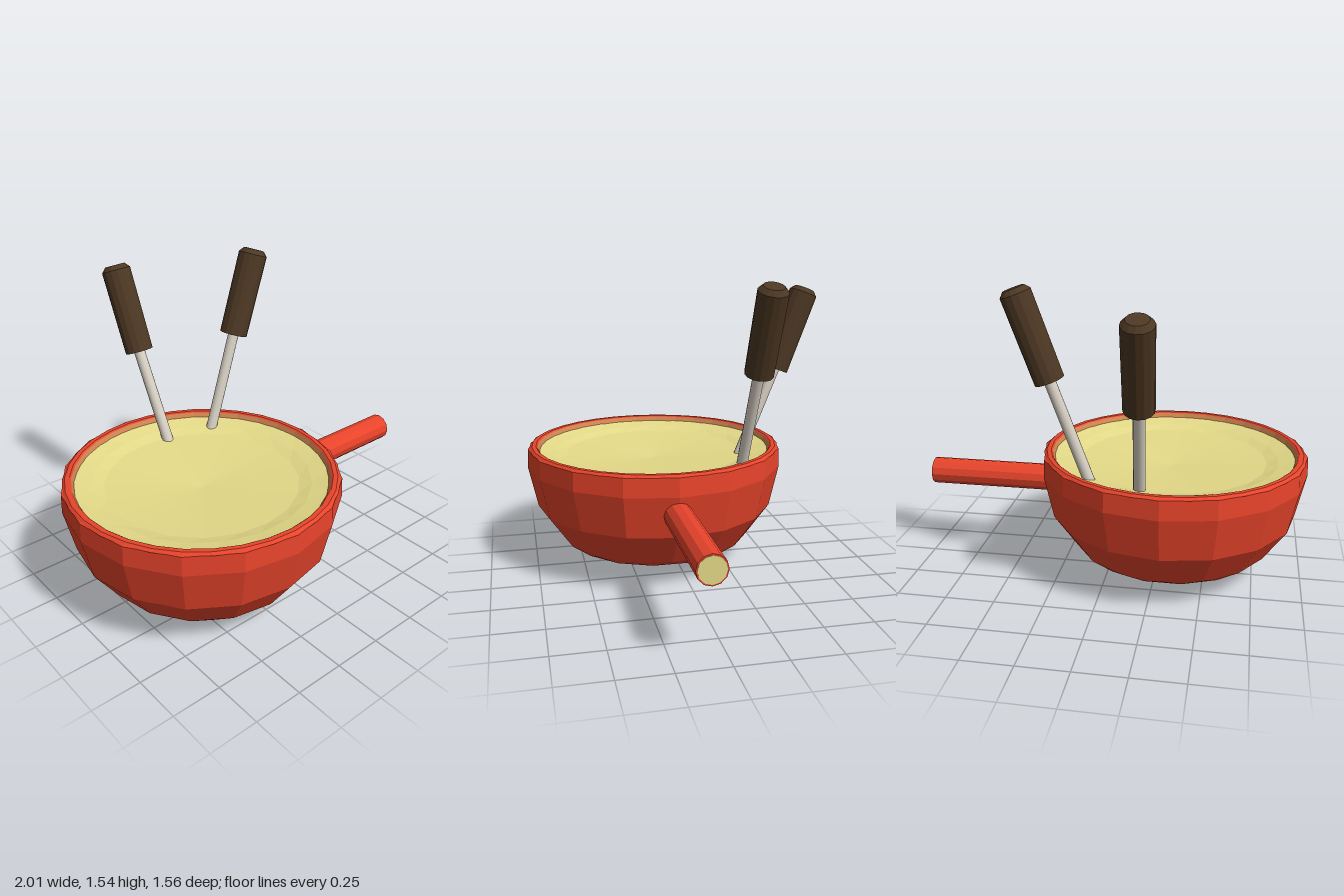
import * as THREE from 'three';

const material = (name, color, flatShading = true) => {
  const m = new THREE.MeshStandardMaterial({ color, flatShading });
  m.name = name;
  return m;
};

// Faceted surface through rings [radius, height, phase]; phase turns a ring by part of a facet.
function ringSurface(rings, n) {
  const pos = [];
  const point = ([r, y, phase], j) => {
    const a = ((j + phase) / n) * Math.PI * 2;
    return [r * Math.cos(a), y, r * Math.sin(a)];
  };
  for (let i = 0; i < rings.length - 1; i++) {
    const A = rings[i], B = rings[i + 1];
    for (let j = 0; j < n; j++) {
      if (A[0] > 0) pos.push(...point(A, j), ...point(A, j + 1), ...point(B, j));
      if (B[0] > 0) pos.push(...point(A, j + 1), ...point(B, j + 1), ...point(B, j));
    }
  }
  const g = new THREE.BufferGeometry();
  g.setAttribute('position', new THREE.Float32BufferAttribute(pos, 3));
  g.computeVertexNormals();
  return g;
}

export function createModel() {
  const model = new THREE.Group();
  model.name = 'fonduePot';
  const red = material('red enamel', 0xe8442b);
  const tan = material('stained lip', 0xcf8450);
  const cream = material('cheese cream', 0xe4da88);
  const brown = material('dark wood', 0x4d3823);
  const steel = material('steel', 0xd9d2c5, false);

  const add = (parent, name, geometry, mat) => {
    const mesh = new THREE.Mesh(geometry, mat);
    mesh.name = name;
    parent.add(mesh);
    return mesh;
  };

  // Pot: faceted wall with a toothed seam above the shallow conical base
  const pot = new THREE.Group();
  pot.name = 'pot';
  pot.position.set(-0.32, 0, 0.095);
  model.add(pot);
  add(pot, 'bowl', ringSurface([
    [0.66, 0.642, 0], [0.683, 0.638, 0], [0.687, 0.54, 0], [0.638, 0.32, 0],
    [0.515, 0.145, 0], [0.468, 0.11, 0.5], [0, 0, 0.5],
  ], 16), red);

  // Rim and the sloping lip inside it
  add(pot, 'rim', ringSurface([
    [0.632, 0.644, 0], [0.64, 0.65, 0], [0.662, 0.65, 0], [0.676, 0.638, 0],
  ], 32), red);
  add(pot, 'innerLip', ringSurface([[0.61, 0.6, 0], [0.632, 0.644, 0]], 32), tan);

  // Cheese: slightly hollow surface
  add(pot, 'cheese', ringSurface([
    [0, 0.555, 0], [0.48, 0.59, 0], [0.54, 0.606, 0.5], [0.625, 0.622, 1],
  ], 20), cream);

  // Side handle with a pale end face
  const handle = add(pot, 'sideHandle', new THREE.CylinderGeometry(0.071, 0.071, 0.68, 12), red);
  handle.rotation.z = -Math.PI / 2;
  handle.position.set(0.978, 0.441, 0);
  const end = add(pot, 'handleEnd', new THREE.CylinderGeometry(0.064, 0.064, 0.004, 12), cream);
  end.rotation.z = -Math.PI / 2;
  end.position.set(1.318, 0.441, 0);

  // Forks: steel rod and bevelled wooden grip along a tilted axis
  const up = new THREE.Vector3(0, 1, 0);
  const addFork = (name, tip, base, top) => {
    const fork = new THREE.Group();
    fork.name = name;
    const [t, b, e] = [tip, base, top].map((p) => new THREE.Vector3(...p));
    const place = (mesh, from, to) => {
      mesh.position.copy(from);
      mesh.quaternion.setFromUnitVectors(up, to.clone().sub(from).normalize());
    };
    const rodLength = t.distanceTo(b) + 0.02, gripLength = b.distanceTo(e);
    const rod = new THREE.CylinderGeometry(0.029, 0.029, rodLength, 12).translate(0, rodLength / 2, 0);
    place(add(fork, 'rod', rod, steel), t, b);
    const profile = [[0, 0], [0.073, 0], [0.075, gripLength - 0.025],
      [0.052, gripLength], [0, gripLength]].map(([x, y]) => new THREE.Vector2(x, y));
    place(add(fork, 'grip', new THREE.LatheGeometry(profile, 14), brown), b, e);
    model.add(fork);
  };
  addFork('rightFork', [-0.2, 0.575, -0.355], [-0.222, 1.045, -0.555], [-0.234, 1.472, -0.72]);
  addFork('leftFork', [0.045, 0.575, -0.3], [0.233, 1.095, -0.325], [0.388, 1.525, -0.34]);

  return model;
}
